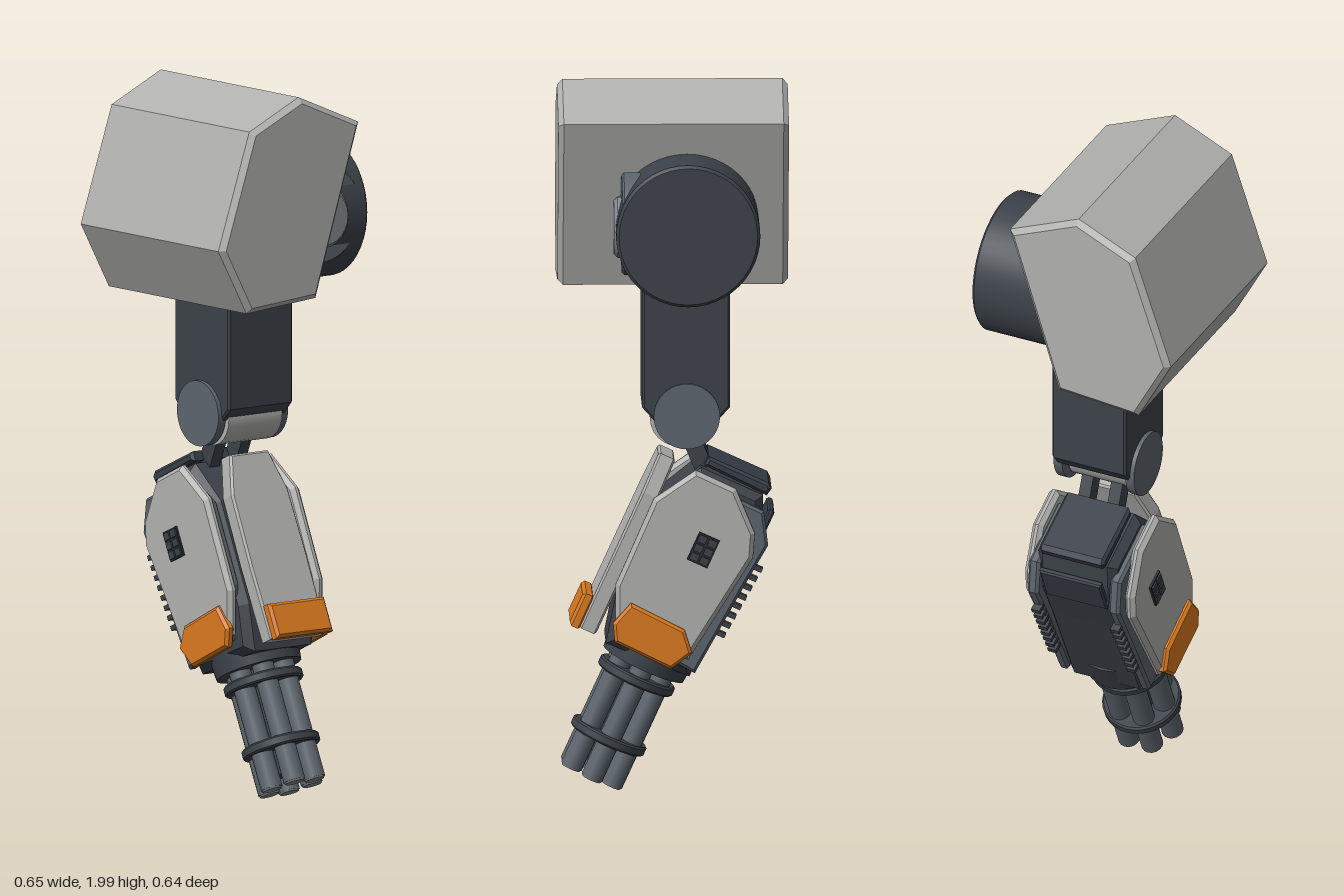
import * as THREE from 'three';

const mat = (name, color) => {
  const m = new THREE.MeshStandardMaterial({ color });
  m.name = name;
  return m;
};

export function createModel() {
  const light = mat('light grey armour', 0xb0b0ae);
  const dark = mat('dark frame', 0x3c4249);
  const navy = mat('dark blue frame', 0x383d48);
  const mid = mat('gunmetal', 0x5c646c);
  const steel = mat('steel', 0x85898d);
  const orange = mat('orange', 0xd9791f);
  const black = mat('vent black', 0x26292d);

  const model = new THREE.Group();
  model.name = 'gunArm';

  const add = (parent, name, geo, material, x = 0, y = 0, z = 0) => {
    const m = new THREE.Mesh(geo, material);
    m.name = name;
    m.position.set(x, y, z);
    parent.add(m);
    return m;
  };
  // bevelled prism; the outline keeps its size
  const prism = (pts, depth, b) => {
    const shape = new THREE.Shape(pts.map(p => new THREE.Vector2(p[0], p[1])));
    const g = new THREE.ExtrudeGeometry(shape, {
      depth: depth - 2 * b, bevelEnabled: b > 0, bevelSize: b,
      bevelThickness: b, bevelOffset: -b, bevelSegments: 1,
    });
    return g.translate(0, 0, b);
  };
  // prism with a (z, y) outline, filling x0..x1
  const sidePrism = (pts, x0, x1, b) =>
    prism(pts, x1 - x0, b).rotateY(-Math.PI / 2).translate(x1, 0, 0);
  const xCylinder = (r, len, seg = 40) =>
    new THREE.CylinderGeometry(r, r, len, seg).rotateZ(Math.PI / 2);
  // turned drum along y with chamfered rims
  const drum = (r, len, c, seg = 48) => new THREE.LatheGeometry([
    [0, -len / 2], [r - c, -len / 2], [r - c, -len / 2], [r, -len / 2 + c], [r, -len / 2 + c],
    [r, len / 2 - c], [r, len / 2 - c], [r - c, len / 2], [r - c, len / 2], [0, len / 2],
  ].map(p => new THREE.Vector2(p[0], p[1])), seg);

  // shoulder armour
  add(model, 'shoulderArmour', prism([
    [-0.225, 1.41], [0.02, 1.43], [0.172, 1.91], [-0.04, 2.0], [-0.215, 1.92], [-0.325, 1.595],
  ], 0.64, 0.015), light, 0, 0, -0.32);

  // shoulder joint with its front cap
  add(model, 'shoulderDrum', drum(0.2, 0.3, 0.008).rotateZ(Math.PI / 2), dark, 0.175, 1.62, -0.037);
  add(model, 'jointRing', drum(0.142, 0.12, 0.006).rotateX(Math.PI / 2), mid, 0.172, 1.63, 0.085);
  add(model, 'jointCap', drum(0.085, 0.1, 0.01, 24).rotateX(Math.PI / 2), steel, 0.172, 1.62, 0.117);

  // upper arm
  add(model, 'upperArm', sidePrism([
    [0.087, 1.1], [0.087, 1.45], [-0.157, 1.45], [-0.157, 1.1], [-0.125, 1.065], [0.055, 1.065],
  ], -0.112, 0.116, 0.006), dark);

  // elbow
  add(model, 'elbowRoller', xCylinder(0.08, 0.19, 24), light, 0, 1.067, -0.015);
  for (const s of [-1, 1]) {
    add(model, 'elbowDisc', xCylinder(0.092, 0.026), mid, s * 0.111, 1.076, -0.037);
    const link = add(model, 'elbowLink', new THREE.BoxGeometry(0.035, 0.13, 0.05), dark, s * 0.045, 0.98, -0.06);
    link.rotation.x = 0.4;
  }

  // forearm: origin at the muzzle, y runs up the barrels
  const arm = new THREE.Group();
  arm.name = 'forearm';
  arm.position.set(0, 0.045, 0.2275);
  arm.rotation.x = -0.428;
  model.add(arm);

  // rotary barrels
  for (let i = 0; i < 6; i++) {
    const a = i * Math.PI / 3, x = 0.071 * Math.cos(a), z = 0.071 * Math.sin(a);
    add(arm, 'barrel', new THREE.CylinderGeometry(0.031, 0.031, 0.39, 16), mid, x, 0.2, z);
    add(arm, 'muzzle', new THREE.CylinderGeometry(0.031, 0.027, 0.008, 16), steel, x, 0.004, z);
  }
  add(arm, 'barrelCore', new THREE.CylinderGeometry(0.045, 0.045, 0.34, 12), dark, 0, 0.21, 0);
  add(arm, 'lowerBarrelRing', drum(0.111, 0.028, 0.005, 32), dark, 0, 0.121, 0);
  add(arm, 'upperBarrelRing', drum(0.113, 0.028, 0.005, 32), dark, 0, 0.307, 0);
  add(arm, 'barrelCollar', new THREE.CylinderGeometry(0.132, 0.122, 0.1, 24), dark, 0, 0.395, -0.004);

  // forearm core
  add(arm, 'forearmBody', sidePrism([
    [0.125, 0.37], [0.155, 0.5], [0.155, 0.8], [0.09, 0.93], [-0.1, 0.93],
    [-0.145, 0.81], [-0.135, 0.68], [-0.125, 0.38],
  ], -0.122, 0.122, 0.022), dark);
  add(arm, 'backCover', prism([
    [-0.095, 0.79], [0.095, 0.79], [0.095, 0.9], [-0.095, 0.9],
  ], 0.02, 0.005), navy, 0, 0, -0.15).rotation.x = 0;
  add(arm, 'topPlate', sidePrism([
    [0.083, 0.938], [0.083, 0.966], [-0.1, 0.966], [-0.114, 0.955], [-0.11, 0.932],
  ], -0.1, 0.1, 0.008), navy);

  // front plate with its painted foot
  add(arm, 'frontPlate', prism([
    [-0.1, 0.38], [0.1, 0.38], [0.103, 0.6], [0.1, 0.8], [0.068, 0.915],
    [-0.068, 0.915], [-0.1, 0.8], [-0.103, 0.6],
  ], 0.05, 0.006), light, 0, 0, 0.16);
  add(arm, 'frontPaint', prism([
    [-0.1, 0.375], [0.1, 0.375], [0.1, 0.475], [-0.1, 0.475],
  ], 0.035, 0.008), orange, 0, 0, 0.205);

  // side plates, mirrored
  const panel = [
    [0.121, 0.425], [0.174, 0.54], [0.178, 0.806], [0.105, 0.926], [-0.018, 0.924],
    [-0.118, 0.831], [-0.142, 0.766], [-0.097, 0.431],
  ];
  const trim = [
    [0.08, 0.42], [0.15, 0.56], [0.15, 0.8], [0.08, 0.9], [-0.118, 0.894],
    [-0.168, 0.812], [-0.156, 0.69], [-0.132, 0.4],
  ];
  const paint = [
    [0.11, 0.395], [0.137, 0.442], [0.115, 0.514], [-0.052, 0.506], [-0.098, 0.455], [-0.063, 0.39],
  ];
  for (const s of [-1, 1]) {
    const side = (name, pts, x0, x1, b, m) =>
      add(arm, name, s > 0 ? sidePrism(pts, x0, x1, b) : sidePrism(pts, -x1, -x0, b), m);
    side('sideTrim', trim, 0.108, 0.142, 0.008, mid);
    side('sidePanel', panel, 0.137, 0.17, 0.012, light);
    side('sidePaint', paint, 0.155, 0.184, 0.008, orange);
    // cooling ridges along the rear edge
    for (let i = 0; i < 8; i++) {
      const v = 0.53 + i * 0.03;
      add(arm, 'coolingRidge', new THREE.BoxGeometry(0.026, 0.014, 0.04), dark,
        s * 0.122, v, -0.132 - (v - 0.4) * 0.08 - 0.003);
    }
    // side vent
    add(arm, 'sideVent', new THREE.BoxGeometry(0.008, 0.085, 0.062), black, s * 0.172, 0.732, -0.006);
    for (let r = -1; r <= 1; r++) for (const c of [-1, 1]) {
      add(arm, 'ventBlock', new THREE.BoxGeometry(0.009, 0.021, 0.024), dark,
        s * 0.176, 0.732 + r * 0.027, -0.006 + c * 0.015);
    }
  }
  return model;
}
